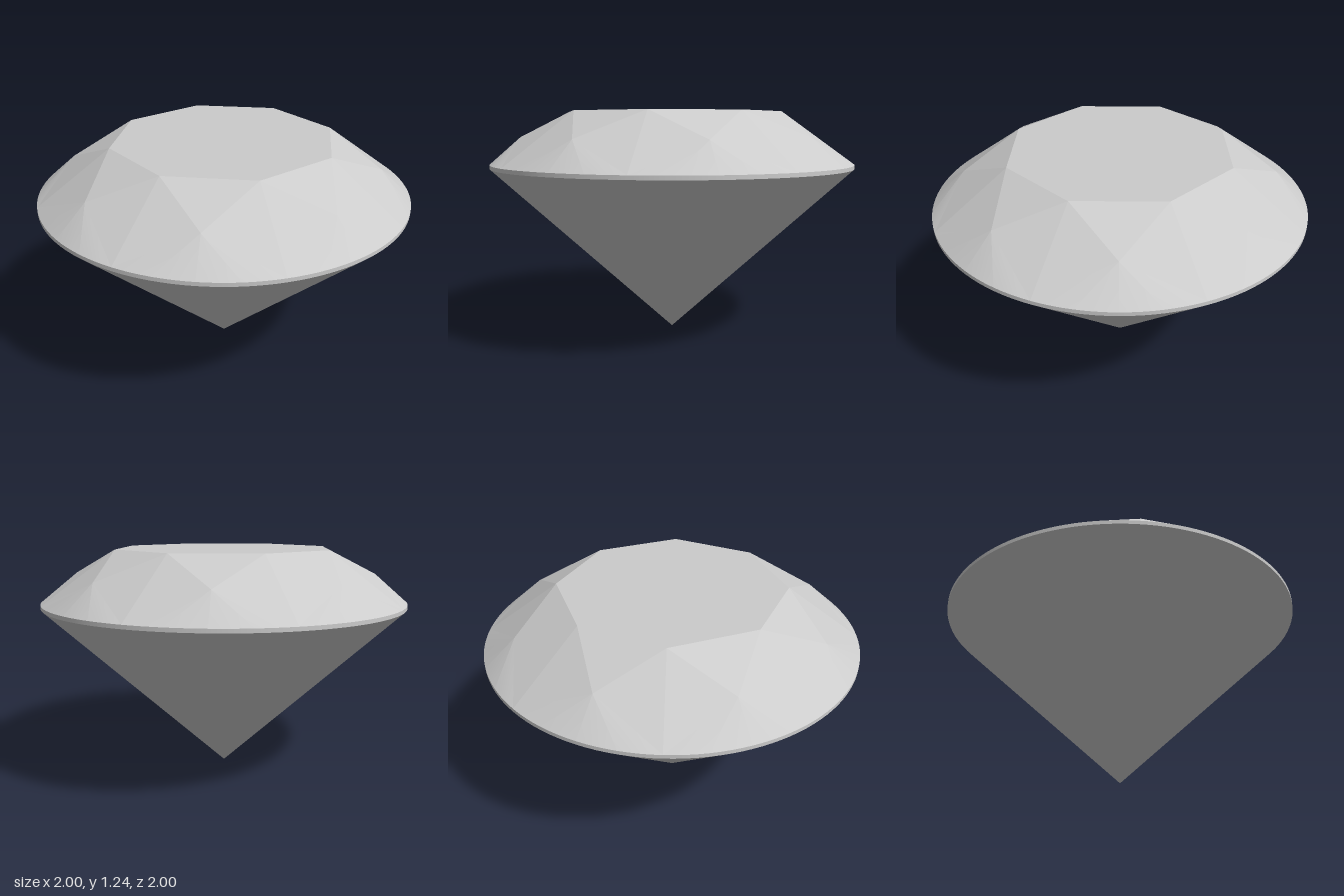
import * as THREE from 'three';
import { mergeGeometries } from 'three/addons/utils/BufferGeometryUtils.js';

const STEP = Math.PI / 8; // sixteen sectors around the stone
const ARC = 8; // rim segments per sector
const TABLE = [0.607, 1.24];
const MIDDLE = [0.835, 1.1];
const RIM_TOP = [1, 0.955];
const RIM_BOTTOM = [1, 0.935];

// Point on a ring [radius, height] at an angle counted in sectors
function at([r, y], k) {
  return new THREE.Vector3(r * Math.sin(k * STEP), y, r * Math.cos(k * STEP));
}

// One facet: a fan of triangles from a tip along a row of points
function facet(tip, row) {
  const g = new THREE.BufferGeometry().setFromPoints([tip, ...row]);
  const index = [];
  for (let i = 1; i < row.length; i++) index.push(0, i, i + 1);
  g.setIndex(index);
  g.computeVertexNormals();
  return g;
}

// Row of points along a ring between two sector positions
function arc(ring, from, to) {
  const n = Math.round(Math.abs(to - from) * ARC);
  return Array.from({ length: n + 1 }, (_, i) => at(ring, from + ((to - from) * i) / n));
}

export function createModel() {
  const group = new THREE.Group();
  const material = new THREE.MeshStandardMaterial({ color: 0xcccccc });
  const add = (name, geometry) => {
    const mesh = new THREE.Mesh(geometry, material);
    mesh.name = name;
    group.add(mesh);
  };

  const stars = [], kites = [], halves = [], pavilion = [];
  for (let k = 0; k < 16; k += 2) {
    const mid = at(MIDDLE, k);
    // Star facet between a table edge and a middle point
    stars.push(facet(mid, [at(TABLE, k + 1), at(TABLE, k - 1)]));
    // Kite halves on both sides of the middle point
    kites.push(facet(mid, [at(RIM_TOP, k + 1), at(TABLE, k + 1)]));
    kites.push(facet(mid, [at(TABLE, k - 1), at(RIM_TOP, k - 1)]));
    // Narrow facets from the middle point down to the girdle
    for (let j = -1; j < 1; j += 0.5) halves.push(facet(mid, arc(RIM_TOP, k + j, k + j + 0.5)));
  }
  // Sixteen lower facets meeting at the point
  for (let k = 0; k < 16; k++) pavilion.push(facet(new THREE.Vector3(), arc(RIM_BOTTOM, k + 1, k)));

  // Flat eight-sided table
  const tableRow = Array.from({ length: 9 }, (_, i) => at(TABLE, 2 * i + 1));
  add('table', facet(new THREE.Vector3(0, TABLE[1], 0), tableRow));
  add('starFacets', mergeGeometries(stars));
  add('kiteFacets', mergeGeometries(kites));
  add('upperGirdleFacets', mergeGeometries(halves));
  add('pavilion', mergeGeometries(pavilion));

  // Thin round band at the widest point
  const girdle = new THREE.CylinderGeometry(1, 1, RIM_TOP[1] - RIM_BOTTOM[1], 16 * ARC, 1, true);
  girdle.translate(0, (RIM_TOP[1] + RIM_BOTTOM[1]) / 2, 0);
  add('girdle', girdle);
  return group;
}
